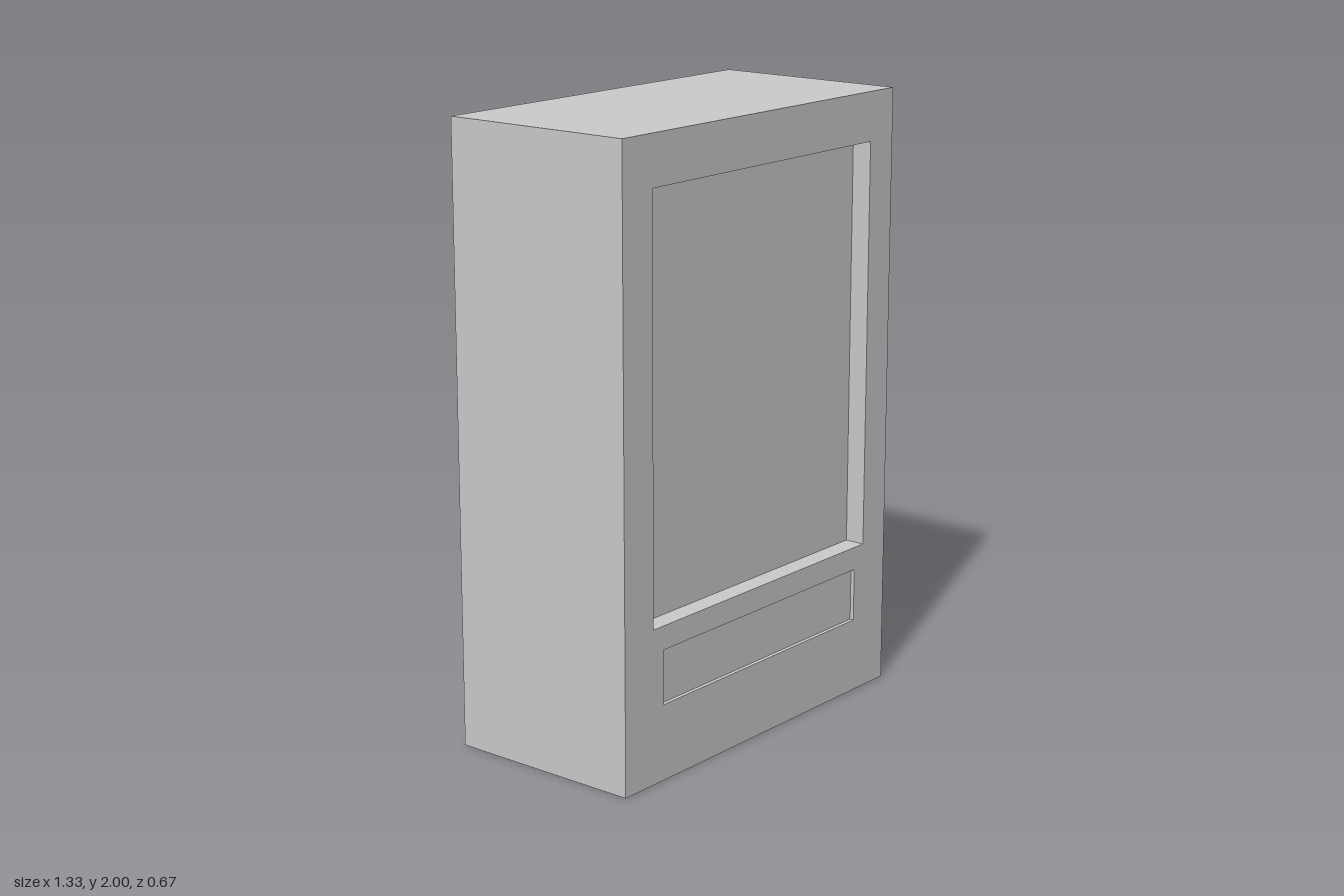
import * as THREE from 'three';

const W = 1.333, H = 2, D = 0.667;
const FRONT = D / 2;

// Box without its +z face; inverted, it lines a recess.
function openBox(w, h, d, inverted = false) {
  const geo = new THREE.BoxGeometry(w, h, d);
  const index = Array.from(geo.index.array);
  index.splice(24, 6);
  if (inverted) index.reverse();
  geo.setIndex(index);
  geo.clearGroups();
  if (inverted) {
    const n = geo.attributes.normal;
    for (let i = 0; i < n.count; i++) n.setXYZ(i, -n.getX(i), -n.getY(i), -n.getZ(i));
  }
  return geo;
}

function rectangle(path, x0, x1, y0, y1) {
  path.moveTo(x0, y0);
  path.lineTo(x1, y0);
  path.lineTo(x1, y1);
  path.lineTo(x0, y1);
  path.closePath();
  return path;
}

export function createModel() {
  const group = new THREE.Group();
  group.name = 'cabinet';
  const material = new THREE.MeshStandardMaterial({ color: 0xcccccc });

  const add = (name, geometry, x, y, z) => {
    const mesh = new THREE.Mesh(geometry, material);
    mesh.name = name;
    mesh.position.set(x, y, z);
    group.add(mesh);
  };

  // Sides, top, bottom and back
  add('body', openBox(W, H, D), 0, H / 2, 0);

  // Sunken display window and shallow dispensing flap
  const recesses = [
    { name: 'displayWindow', x0: -0.533, x1: 0.547, y0: 0.5, y1: 1.84, depth: 0.067 },
    { name: 'dispensingFlap', x0: -0.487, x1: 0.5, y0: 0.247, y1: 0.423, depth: 0.013 },
  ];
  const face = rectangle(new THREE.Shape(), -W / 2, W / 2, 0, H);
  for (const { name, x0, x1, y0, y1, depth } of recesses) {
    face.holes.push(rectangle(new THREE.Path(), x0, x1, y0, y1));
    add(name, openBox(x1 - x0, y1 - y0, depth, true),
      (x0 + x1) / 2, (y0 + y1) / 2, FRONT - depth / 2);
  }

  // Front face around the two openings
  add('frontPanel', new THREE.ShapeGeometry(face), 0, 0, FRONT);

  return group;
}
